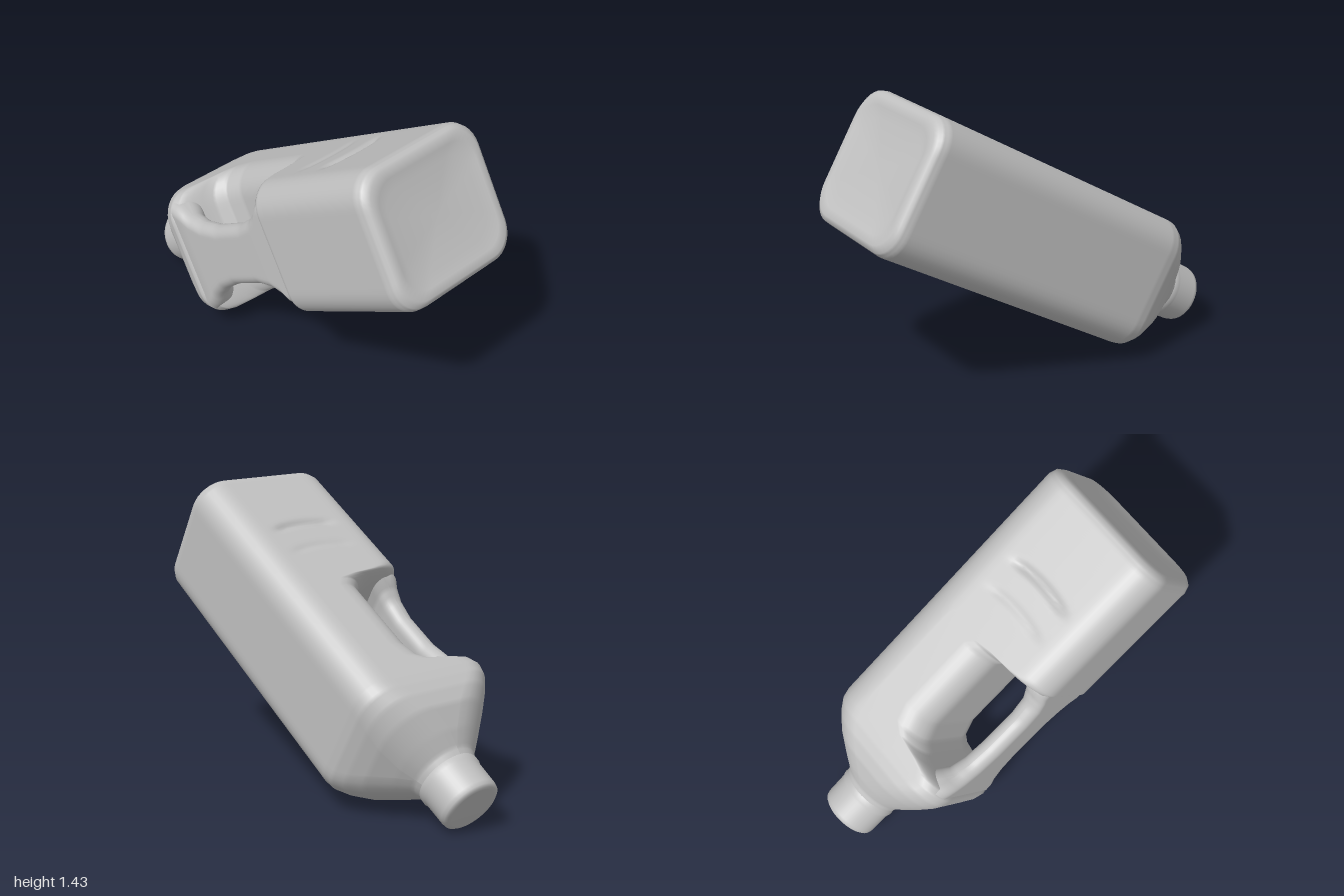
import * as THREE from 'three';

const CORNER = 8, SIDE = 16;

// Rounded rectangle outline from x = L..R and z = -D..D, fixed point count
function section(L, R, D, r) {
  r = Math.min(r, D, (R - L) / 2);
  const centres = [[R - r, D - r], [L + r, D - r], [L + r, r - D], [R - r, r - D]];
  const pts = [];
  centres.forEach(([cx, cz], q) => {
    for (let i = 0; i <= CORNER; i++) {
      const a = (q + i / CORNER) * Math.PI / 2;
      pts.push([cx + r * Math.cos(a), cz + r * Math.sin(a)]);
    }
    // points along the straight side to the next corner
    const [ex, ez] = pts[pts.length - 1];
    const [nx, nz] = centres[(q + 1) % 4];
    const b = (q + 1) * Math.PI / 2;
    const tx = nx + r * Math.cos(b), tz = nz + r * Math.sin(b);
    for (let i = 1; i < SIDE; i++) {
      const t = i / SIDE;
      pts.push([ex + (tx - ex) * t, ez + (tz - ez) * t]);
    }
  });
  return pts;
}

// Skin a list of rows [y, left, right, halfDepth, cornerRadius]
function loft(rows, step, warp) {
  const fine = [];
  rows.forEach((row, i) => {
    fine.push(row);
    const next = rows[i + 1];
    if (!next) return;
    const n = Math.ceil((next[0] - row[0]) / step);
    for (let k = 1; k < n; k++) fine.push(row.map((v, c) => v + (next[c] - v) * k / n));
  });
  const pos = [], index = [];
  let n = 0;
  fine.forEach(([y, ...s]) => {
    const pts = section(...s);
    n = pts.length;
    pts.forEach(([x, z]) => pos.push(x, y, warp ? warp(x, y, z) : z));
  });
  for (let i = 0; i < fine.length - 1; i++) {
    for (let j = 0; j < n; j++) {
      const a = i * n + j, b = i * n + (j + 1) % n;
      index.push(a, a + n, b, b, a + n, b + n);
    }
  }
  const g = new THREE.BufferGeometry();
  g.setAttribute('position', new THREE.Float32BufferAttribute(pos, 3));
  g.setIndex(index);
  g.computeVertexNormals();
  return g;
}

// Shallow curved grooves pressed into the two broad faces
function grooves(x, y, z) {
  if (Math.abs(z) < 0.25) return z;
  const fade = 1 - THREE.MathUtils.smoothstep(Math.abs(x), 0.12, 0.2);
  let depth = 0;
  for (const [gy, amount] of [[0.42, 0.018], [0.59, 0.007]]) {
    const d = (y - gy - x * x * 0.8) / 0.022;
    depth += amount * Math.exp(-d * d);
  }
  return z - Math.sign(z) * depth * fade;
}

export function createModel() {
  const plastic = new THREE.MeshStandardMaterial({ color: 0xc0c0c0 });
  const jug = new THREE.Group();
  jug.name = 'jug';
  const add = (name, geometry) => {
    const mesh = new THREE.Mesh(geometry, plastic);
    mesh.name = name;
    jug.add(mesh);
    return mesh;
  };

  // Body: dished base, square trunk, side cut-out for the grip, shoulder
  add('body', loft([
    [0.025, 0, 0, 0, 0],
    [0.024, -0.26, 0.26, 0.21, 0.1],
    [0.003, -0.31, 0.31, 0.26, 0.12],
    [0.004, -0.345, 0.345, 0.3, 0.13],
    [0.025, -0.372, 0.372, 0.326, 0.14],
    [0.06, -0.382, 0.382, 0.335, 0.14],
    [0.77, -0.382, 0.382, 0.335, 0.14],
    [0.793, -0.365, 0.382, 0.335, 0.14],
    [0.808, -0.31, 0.382, 0.335, 0.14],
    [0.818, -0.2, 0.382, 0.335, 0.14],
    [0.835, -0.11, 0.382, 0.335, 0.14],
    [0.88, -0.07, 0.382, 0.335, 0.14],
    [1.3, -0.07, 0.382, 0.335, 0.14],
    [1.39, -0.1, 0.382, 0.335, 0.14],
    [1.43, -0.16, 0.382, 0.335, 0.14],
    [1.45, -0.28, 0.382, 0.335, 0.14],
    [1.47, -0.355, 0.382, 0.335, 0.14],
    [1.51, -0.38, 0.382, 0.335, 0.14],
    [1.56, -0.37, 0.376, 0.334, 0.15],
    [1.62, -0.338, 0.352, 0.326, 0.18],
    [1.69, -0.29, 0.31, 0.3, 0.21],
    [1.78, -0.22, 0.23, 0.228, 0.2],
    [1.84, -0.167, 0.168, 0.168, 0.167],
    [1.88, -0.15, 0.15, 0.15, 0.15],
  ], 0.012, grooves));

  // Grip bar bridging the cut-out, flared at both ends
  add('handle', loft([
    [0.74, -0.37, -0.18, 0.28, 0.06],
    [0.81, -0.372, -0.215, 0.26, 0.06],
    [0.84, -0.373, -0.245, 0.22, 0.055],
    [0.9, -0.375, -0.262, 0.18, 0.055],
    [1.0, -0.375, -0.268, 0.155, 0.053],
    [1.2, -0.375, -0.268, 0.155, 0.053],
    [1.32, -0.375, -0.266, 0.18, 0.054],
    [1.4, -0.375, -0.255, 0.22, 0.055],
    [1.45, -0.375, -0.22, 0.27, 0.06],
    [1.5, -0.37, -0.18, 0.3, 0.06],
  ], 0.03));

  // Cap with a soft rim
  const capProfile = [
    [0.145, 1.82], [0.15, 1.86], [0.156, 1.875], [0.157, 1.9], [0.151, 1.915],
    [0.149, 2.03], [0.145, 2.05], [0.132, 2.06], [0.115, 2.061], [0, 2.061],
  ].map(([x, y]) => new THREE.Vector2(x, y));
  add('cap', new THREE.LatheGeometry(capProfile, 48));

  // Lay the jug tilted, cap pointing down and back
  const across = new THREE.Vector3(0.987, 0, 0.158).normalize();
  const axis = new THREE.Vector3(0.137, -0.503, -0.853).normalize();
  const face = new THREE.Vector3().crossVectors(across, axis).normalize();
  across.crossVectors(axis, face);
  jug.quaternion.setFromRotationMatrix(new THREE.Matrix4().makeBasis(across, axis, face));
  jug.position.set(-0.111, 1.164, 0.83);

  const model = new THREE.Group();
  model.name = 'tiltedJug';
  model.add(jug);
  return model;
}
